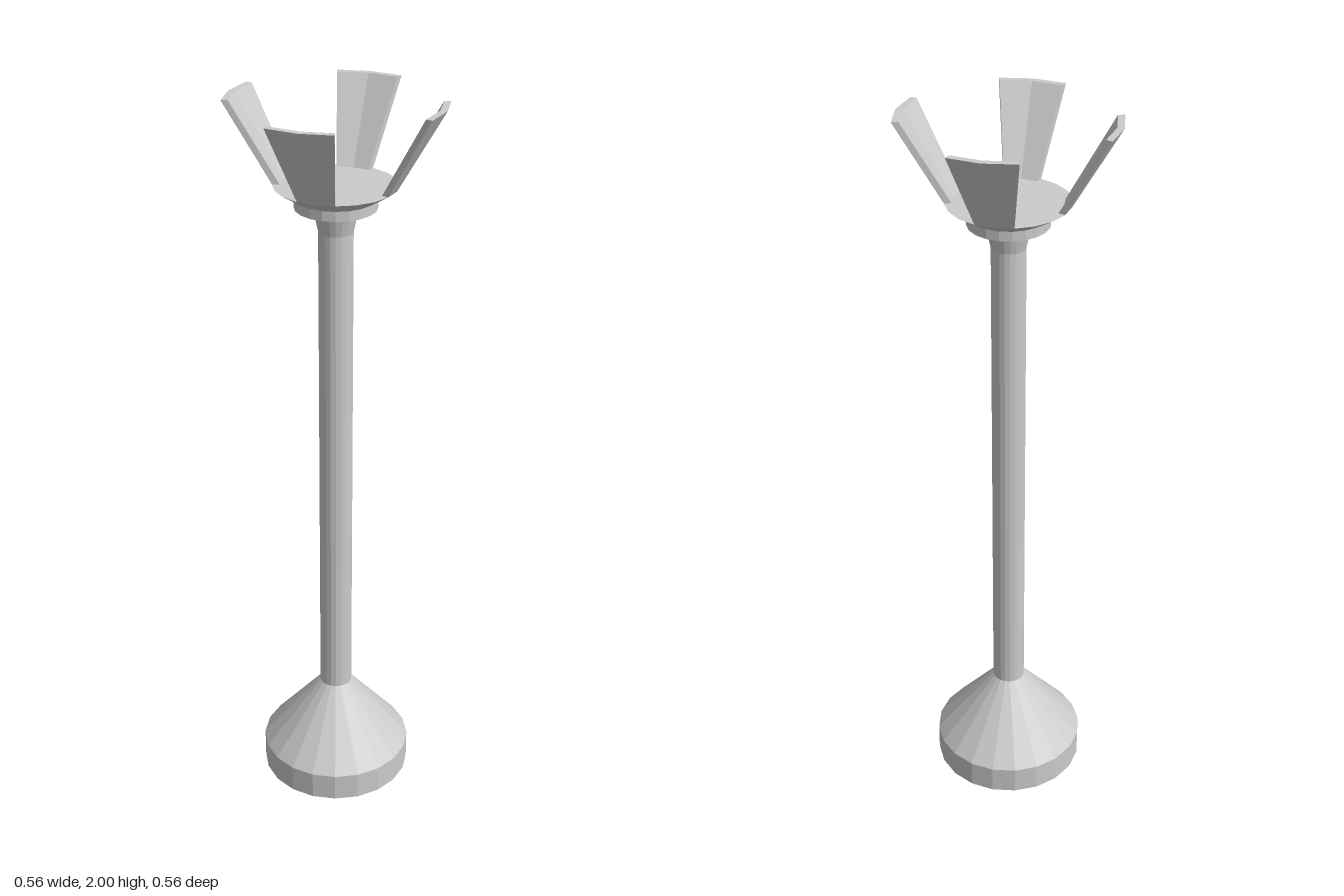
import * as THREE from 'three';

const SIDES = 20;
const material = new THREE.MeshStandardMaterial({ color: 0xcccccc, flatShading: true });

// Turned part from a [radius, height] profile, bottom to top
function turned(name, profile) {
  const points = profile.map(([r, y]) => new THREE.Vector2(r, y));
  const mesh = new THREE.Mesh(new THREE.LatheGeometry(points, SIDES), material);
  mesh.name = name;
  return mesh;
}

// Flaring prong: a box bent round the axis, spanning two of the cup's sides
function prongGeometry() {
  const geometry = new THREE.BoxGeometry(1, 1, 1, 2, 1, 1);
  const p = geometry.attributes.position;
  for (let i = 0; i < p.count; i++) {
    const angle = p.getX(i) * 2 * (Math.PI * 2 / SIDES);
    const top = p.getY(i) > 0, outer = p.getZ(i) > 0;
    const r = top ? (outer ? 0.28 : 0.262) : (outer ? 0.159 : 0.14);
    p.setXYZ(i, Math.sin(angle) * r, top ? 2 : 1.788, Math.cos(angle) * r);
  }
  geometry.computeVertexNormals();
  return geometry;
}

export function createModel() {
  const model = new THREE.Group();
  model.name = 'stand';

  // Foot: short drum with a cone above
  model.add(turned('base', [[0, 0], [0.211, 0], [0.211, 0.08], [0.045, 0.28]]));

  // Column, flaring slightly under the collar
  model.add(turned('column', [[0.045, 0.28], [0.045, 1.665], [0.055, 1.71]]));

  // Collar and shallow cup with a flat top
  model.add(turned('cup', [
    [0.055, 1.71], [0.075, 1.722], [0.106, 1.729], [0.106, 1.755], [0.159, 1.788], [0, 1.788],
  ]));

  // Four prongs round the rim
  const geometry = prongGeometry();
  ['front', 'left', 'back', 'right'].forEach((side, i) => {
    const prong = new THREE.Mesh(geometry, material);
    prong.name = side + 'Prong';
    prong.rotation.y = i * Math.PI / 2;
    model.add(prong);
  });

  return model;
}
